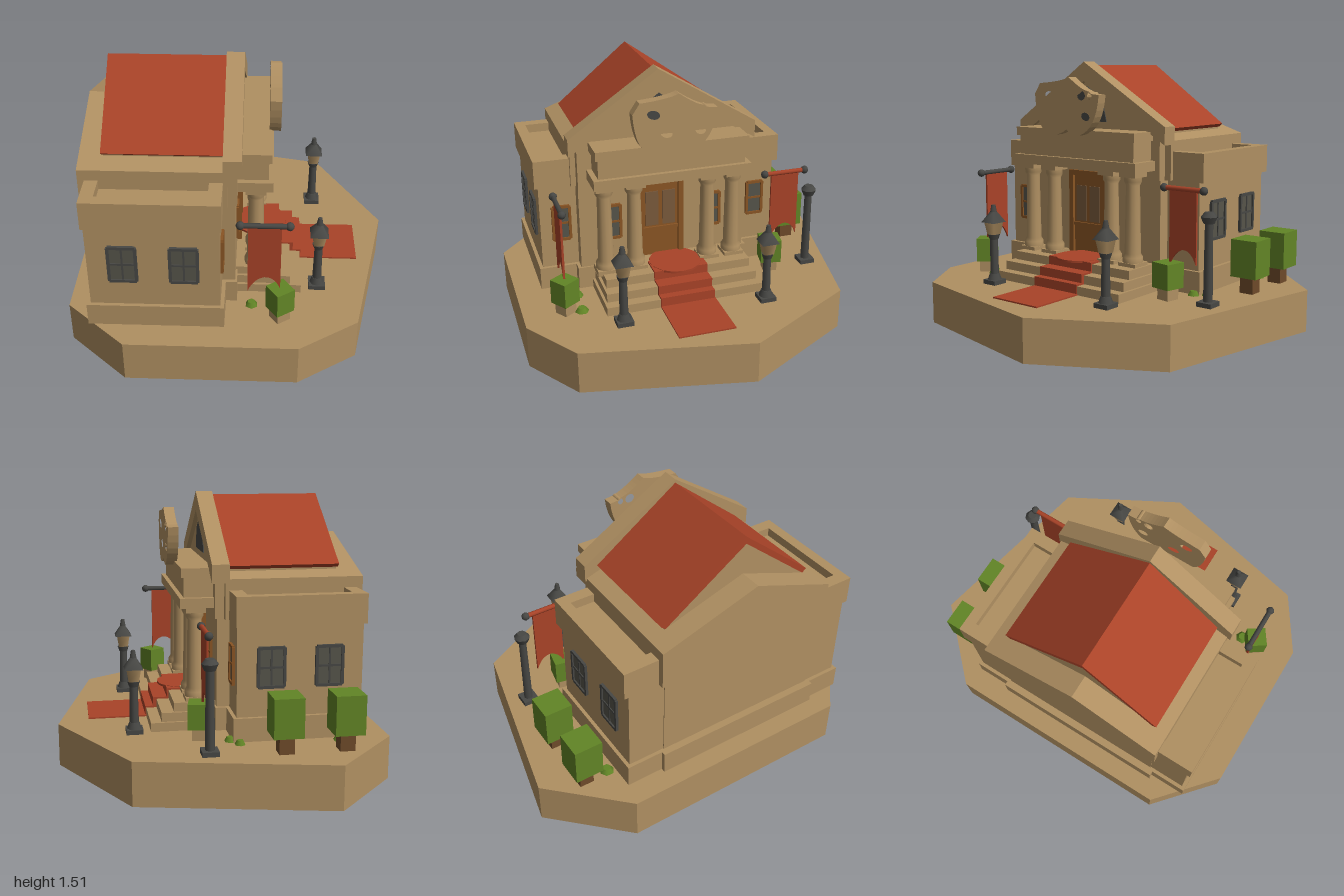
import * as THREE from 'three';

const mat = (name, color, side = THREE.FrontSide) => {
  const m = new THREE.MeshStandardMaterial({ color, side });
  m.name = name;
  return m;
};

export function createModel() {
  const model = new THREE.Group();
  model.name = 'theatre';
  const stone = mat('stone', 0xb09062), red = mat('red', 0xa94328, THREE.DoubleSide);
  const green = mat('leafGreen', 0x628526), iron = mat('iron', 0x474744);
  const wood = mat('wood', 0x8a5524), glass = mat('darkGlass', 0x56544a);
  const doorGlass = mat('doorGlass', 0x7a5a3c), bark = mat('bark', 0x6e4a2a);

  const add = (name, geo, m, parent = model) => {
    const mesh = new THREE.Mesh(geo, m);
    mesh.name = name;
    parent.add(mesh);
    return mesh;
  };
  const box = (name, m, x0, x1, y0, y1, z0, z1, parent) =>
    add(name, new THREE.BoxGeometry(x1 - x0, y1 - y0, z1 - z0)
      .translate((x0 + x1) / 2, (y0 + y1) / 2, (z0 + z1) / 2), m, parent);
  const cyl = (name, m, rTop, rBot, y0, y1, sides, parent, turn = 0) =>
    add(name, new THREE.CylinderGeometry(rTop, rBot, y1 - y0, sides)
      .rotateY(turn).translate(0, (y0 + y1) / 2, 0), m, parent);
  const poly = pts => new THREE.Shape(pts.map(p => new THREE.Vector2(...p)));
  // Extrudes a (z, y) outline along x
  const alongX = (name, m, shape, x0, x1, parent) =>
    add(name, new THREE.ExtrudeGeometry(shape, { depth: x1 - x0, bevelEnabled: false, curveSegments: 8 })
      .rotateY(-Math.PI / 2).translate(x1, 0, 0), m, parent);
  const group = (name, x, y, z, ry = 0) => {
    const g = new THREE.Group();
    g.name = name;
    g.position.set(x, y, z);
    g.rotation.y = ry;
    model.add(g);
    return g;
  };
  const G = 0.24, C = 0.13; // ground level, centre line of the building

  // Ground slab
  const rim = [[-0.51, -1], [0.52, -0.78], [0.88, -0.13], [0.68, 0.79], [0.36, 1], [-0.55, 1], [-0.88, 0.71], [-0.88, -0.62]];
  add('ground', new THREE.ExtrudeGeometry(poly(rim.map(([x, z]) => [x, -z])), { depth: G, bevelEnabled: false })
    .rotateX(-Math.PI / 2), stone);

  // Side wings with plinth, cornice and parapet around a sunken roof
  box('wingWalls', stone, -0.73, -0.05, G, 0.9, -0.57, 0.83);
  box('wingPlinth', stone, -0.75, -0.03, G, 0.37, -0.59, 0.85);
  box('wingCornice', stone, -0.74, -0.04, 0.86, 0.97, -0.6, 0.85);
  for (const [z0, z1] of [[-0.6, -0.54], [0.79, 0.85]]) box('parapet', stone, -0.74, -0.04, 0.97, 1.02, z0, z1);
  for (const [x0, x1] of [[-0.74, -0.67], [-0.11, -0.04]]) box('parapetEnd', stone, x0, x1, 0.97, 1.02, -0.54, 0.79);

  // Central hall
  box('hallWalls', stone, -0.735, 0.02, G, 0.9, -0.36, 0.62);
  box('hallPlinth', stone, -0.775, 0.03, G, 0.37, -0.38, 0.64);
  alongX('rearGable', stone, poly([[-0.4, 0.86], [0.65, 0.86], [0.65, 1.08], [0.16, 1.265], [-0.4, 1.08]]), -0.775, -0.02);
  alongX('roofCore', stone, poly([[-0.31, 1.05], [0.56, 1.05], [0.56, 1.13], [0.16, 1.455], [-0.31, 1.13]]), -0.65, -0.03);
  alongX('roofTiles', red, poly([[-0.335, 1.14], [0.16, 1.49], [0.585, 1.14], [0.56, 1.12], [0.16, 1.45], [-0.31, 1.12]]), -0.66, -0.035);

  // Front pediment with raking frame
  alongX('pediment', stone, poly([[-0.36, 0.86], [0.62, 0.86], [0.62, 1.12], [0.16, 1.43], [-0.36, 1.12]]), -0.04, 0.03);
  alongX('rakingCornice', stone, poly([[-0.41, 1.06], [-0.41, 1.16], [0.16, 1.51], [0.67, 1.16], [0.67, 1.06], [0.16, 1.4]]), -0.04, 0.055);
  alongX('pedimentRecess', iron, poly([[0.01, 1.17], [0.29, 1.17], [0.26, 1.29], [0.15, 1.37], [0.04, 1.29]]), 0.03, 0.036);

  // Portico: steps, columns and entablature
  [0.38, 0.32, 0.25].forEach((x, i) =>
    box('step', stone, 0, x, G + i * 0.05, G + 0.05 * (i + 1), -0.35 + i * 0.015, 0.56 - i * 0.015));
  box('architrave', stone, 0, 0.215, 0.915, 0.97, -0.33, 0.57);
  box('frieze', stone, 0, 0.19, 0.97, 1.09, -0.3, 0.54);
  box('porticoCornice', stone, 0, 0.205, 1.08, 1.13, -0.315, 0.555);
  for (const z of [0.5, 0.33, -0.1, -0.25]) {
    const column = group('column', 0.125, 0, z);
    box('columnFoot', stone, -0.058, 0.058, 0.38, 0.41, -0.058, 0.058, column);
    add('columnShaft', new THREE.LatheGeometry([[0.058, 0.41], [0.058, 0.44], [0.046, 0.46], [0.039, 0.84], [0.05, 0.86], [0.05, 0.89]]
      .map(p => new THREE.Vector2(...p)), 12), stone, column);
    box('columnHead', stone, -0.055, 0.055, 0.885, 0.92, -0.055, 0.055, column);
  }

  // Mask plaque above the portico
  const mask = new THREE.Shape();
  mask.moveTo(0.36, 1.33);
  mask.quadraticCurveTo(0.345, 1.1, 0.235, 1.1);
  mask.quadraticCurveTo(0.17, 1.1, 0.125, 1.135);
  mask.quadraticCurveTo(0.08, 1.1, 0.03, 1.105);
  mask.quadraticCurveTo(-0.09, 1.14, -0.11, 1.33);
  mask.lineTo(-0.06, 1.335);
  mask.quadraticCurveTo(0.02, 1.36, 0.105, 1.425);
  mask.quadraticCurveTo(0.16, 1.4, 0.32, 1.39);
  mask.closePath();
  for (const [z, y, a, b] of [[0.245, 1.32, 0.036, 0.024], [0.175, 1.21, 0.034, 0.022], [0.015, 1.325, 0.028, 0.026],
    [-0.045, 1.325, 0.016, 0.02], [-0.015, 1.21, 0.03, 0.022]]) {
    const hole = new THREE.Path();
    hole.absellipse(z, y, a, b, 0, Math.PI * 2, true, 0.3);
    mask.holes.push(hole);
  }
  alongX('maskPlaque', stone, mask, 0.19, 0.25);

  // Windows, built facing +z around their centre
  const makeWindow = (name, x, y, z, ry, w, h, frame) => {
    const g = group(name, x, y, z, ry), a = w / 2, b = h / 2, t = 0.016;
    box('pane', glass, -a, a, -b, b, 0, 0.006, g);
    for (const s of [-1, 1]) {
      box('frameSide', frame, s * a - t / 2, s * a + t / 2, -b, b, 0, 0.015, g);
      box('frameEnd', frame, -a, a, s * b - t / 2, s * b + t / 2, 0, 0.015, g);
    }
    box('crossBar', frame, -a, a, -0.006, 0.006, 0, 0.011, g);
    if (w > 0.1) box('mullion', frame, -0.005, 0.005, -b, b, 0, 0.01, g);
  };
  for (const x of [-0.547, -0.233]) {
    makeWindow('sideWindow', x, 0.637, 0.83, 0, 0.14, 0.21, iron);
    makeWindow('sideWindow', x, 0.637, -0.57, Math.PI, 0.14, 0.21, iron);
  }
  for (const z of [0.71, -0.46]) makeWindow('wingFrontWindow', -0.05, 0.635, z, Math.PI / 2, 0.095, 0.2, wood);
  for (const z of [0.42, -0.175]) makeWindow('porchWindow', 0.02, 0.635, z, Math.PI / 2, 0.07, 0.2, wood);

  // Front door
  box('door', wood, 0.02, 0.028, 0.39, 0.87, 0.02, 0.28);
  for (const z of [0.03, 0.27]) box('doorPost', wood, 0.02, 0.045, 0.39, 0.87, z - 0.015, z + 0.015);
  box('doorLintel', wood, 0.02, 0.045, 0.85, 0.88, 0.015, 0.285);
  box('doorRail', wood, 0.02, 0.04, 0.55, 0.57, 0.04, 0.26);
  for (const z of [0.1, 0.2]) box('doorPane', doorGlass, 0.028, 0.034, 0.58, 0.79, z - 0.038, z + 0.038);

  // Carpet down the steps with a round landing
  box('carpetRunner', red, 0.38, 0.71, G, G + 0.008, -0.065, 0.255);
  [0.385, 0.34, 0.26].forEach((x, i) =>
    box('carpetStep', red, 0.12, x, G + i * 0.05, G + 0.05 * (i + 1) + 0.01, -0.06, 0.255));
  cyl('carpetLanding', red, 0.15, 0.15, 0.39, 0.402, 16, group('landing', 0.15, 0, 0.1));

  // Street lamps
  const q = Math.PI / 4;
  for (const z of [-0.335, 0.49]) {
    const lamp = group('streetLamp', 0.47, 0, z);
    box('lampFoot', iron, -0.046, 0.046, G, 0.265, -0.046, 0.046, lamp);
    cyl('lampBase', iron, 0.028, 0.04, 0.265, 0.3, 8, lamp);
    cyl('lampPole', iron, 0.022, 0.025, 0.3, 0.5, 8, lamp);
    cyl('lampCollar', iron, 0.035, 0.025, 0.5, 0.53, 8, lamp);
    cyl('lantern', stone, 0.055, 0.038, 0.53, 0.605, 4, lamp, q);
    cyl('lanternRoof', iron, 0.02, 0.07, 0.6, 0.66, 4, lamp, q);
    cyl('lanternTip', iron, 0.012, 0.02, 0.66, 0.7, 6, lamp);
  }
  // Plain post
  const post = group('post', 0.12, 0, -0.74);
  box('postFoot', iron, -0.045, 0.045, G, 0.265, -0.045, 0.045, post);
  cyl('postShaft', iron, 0.022, 0.026, 0.265, 0.69, 8, post);
  cyl('postCap', iron, 0.045, 0.03, 0.68, 0.715, 8, post);
  cyl('postTip', iron, 0.025, 0.045, 0.715, 0.74, 8, post);

  // Banners hanging from poles, with arched lower edges
  for (const [x, z, ry] of [[0.175, 0.765, 0], [0.12, -0.58, Math.PI / 2]]) {
    const banner = group('banner', x, 0.845, z, ry);
    const cloth = poly([[-0.085, 0], [0.085, 0], [0.085, -0.4]]);
    cloth.quadraticCurveTo(0.055, -0.32, 0, -0.325);
    cloth.quadraticCurveTo(-0.055, -0.34, -0.085, -0.42);
    add('bannerCloth', new THREE.ExtrudeGeometry(cloth, { depth: 0.012, bevelEnabled: false, curveSegments: 6 })
      .translate(0, 0, -0.006), red, banner);
    add('bannerPole', new THREE.CylinderGeometry(0.014, 0.014, 0.27, 8).rotateZ(Math.PI / 2), ry ? red : iron, banner);
    for (const s of [-1, 1]) add('poleKnob', new THREE.SphereGeometry(0.023, 8, 6).translate(s * 0.125, 0, 0), iron, banner);
  }

  // Trimmed trees behind and shrubs beside the porch
  const topiary = (name, x, z, ry, w, y0, y1, trunkMat) => {
    const g = group(name, x, 0, z, ry), a = w / 2;
    box('trunk', trunkMat, -0.04, 0.04, G, y0 + 0.01, -0.04, 0.04, g);
    box('crown', green, -a, a, y0, y1, -a, a, g);
  };
  for (const x of [-0.585, -0.265]) topiary('tree', x, -0.77, 0, 0.158, 0.335, 0.545, bark);
  topiary('shrub', 0.262, 0.765, 0.6, 0.11, 0.305, 0.445, stone);
  topiary('shrub', 0.135, -0.495, -0.2, 0.12, 0.305, 0.445, stone);
  for (const [x, z, r] of [[-0.6, -0.635, 0.04], [-0.06, -0.62, 0.03], [-0.02, -0.56, 0.035], [0.11, 0.67, 0.035], [0.28, 0.68, 0.04]])
    cyl('grassTuft', green, r * 0.6, r, G, G + 0.025, 6, group('grass', x, 0, z));

  return model;
}
